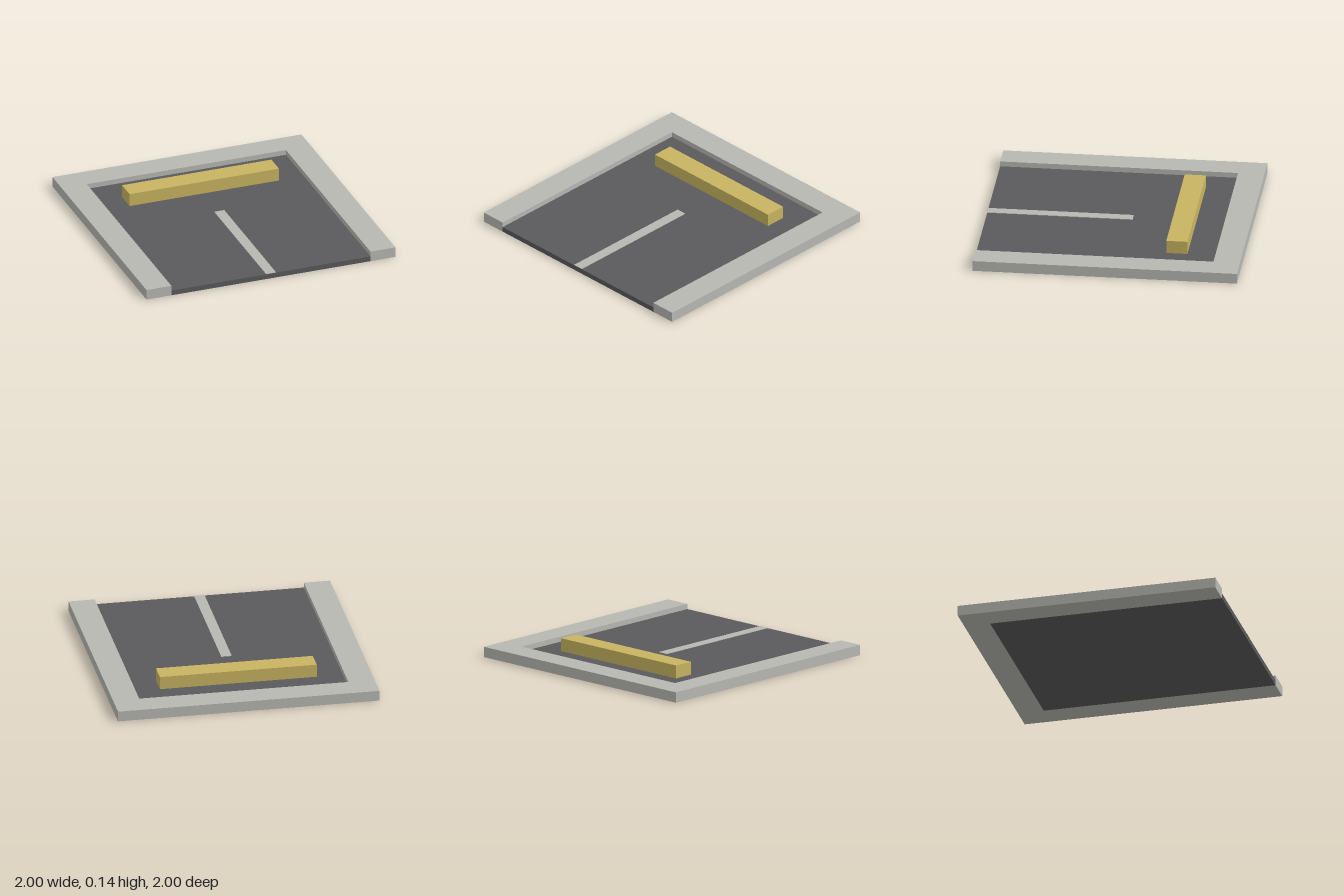
import * as THREE from 'three';

function material(name, color) {
  const m = new THREE.MeshStandardMaterial({ color });
  m.name = name;
  return m;
}

export function createModel() {
  const concrete = material('paleConcrete', 0xb8b8b3);
  const asphalt = material('darkAsphalt', 0x5a5a5c);
  const yellow = material('mutedYellow', 0xc8b460);

  const group = new THREE.Group();
  group.name = 'parkingBay';

  const add = (name, geometry, mat) => {
    const mesh = new THREE.Mesh(geometry, mat);
    mesh.name = name;
    group.add(mesh);
    return mesh;
  };

  // Box given by its minimum and maximum corners
  const box = (name, [x0, y0, z0], [x1, y1, z1], mat) => {
    const mesh = add(name, new THREE.BoxGeometry(x1 - x0, y1 - y0, z1 - z0), mat);
    mesh.position.set((x0 + x1) / 2, (y0 + y1) / 2, (z0 + z1) / 2);
  };

  // U-shaped curb, open at the front
  const outline = [[-1, -1], [-0.8, -1], [-0.8, 0.8], [0.8, 0.8],
    [0.8, -1], [1, -1], [1, 1], [-1, 1]];
  const curbShape = new THREE.Shape(outline.map(([x, y]) => new THREE.Vector2(x, y)));
  const curb = new THREE.ExtrudeGeometry(curbShape, { depth: 0.08, bevelEnabled: false });
  curb.rotateX(-Math.PI / 2);
  add('curb', curb, concrete);

  // Sunken pavement with a centre marking and a wheel stop
  box('pavement', [-0.8, 0, -0.8], [0.8, 0.04, 1], asphalt);
  box('centreLine', [-0.04, 0.04, -0.1], [0.04, 0.044, 1], concrete);
  box('wheelStop', [-0.6, 0.04, -0.58], [0.6, 0.14, -0.42], yellow);

  return group;
}
